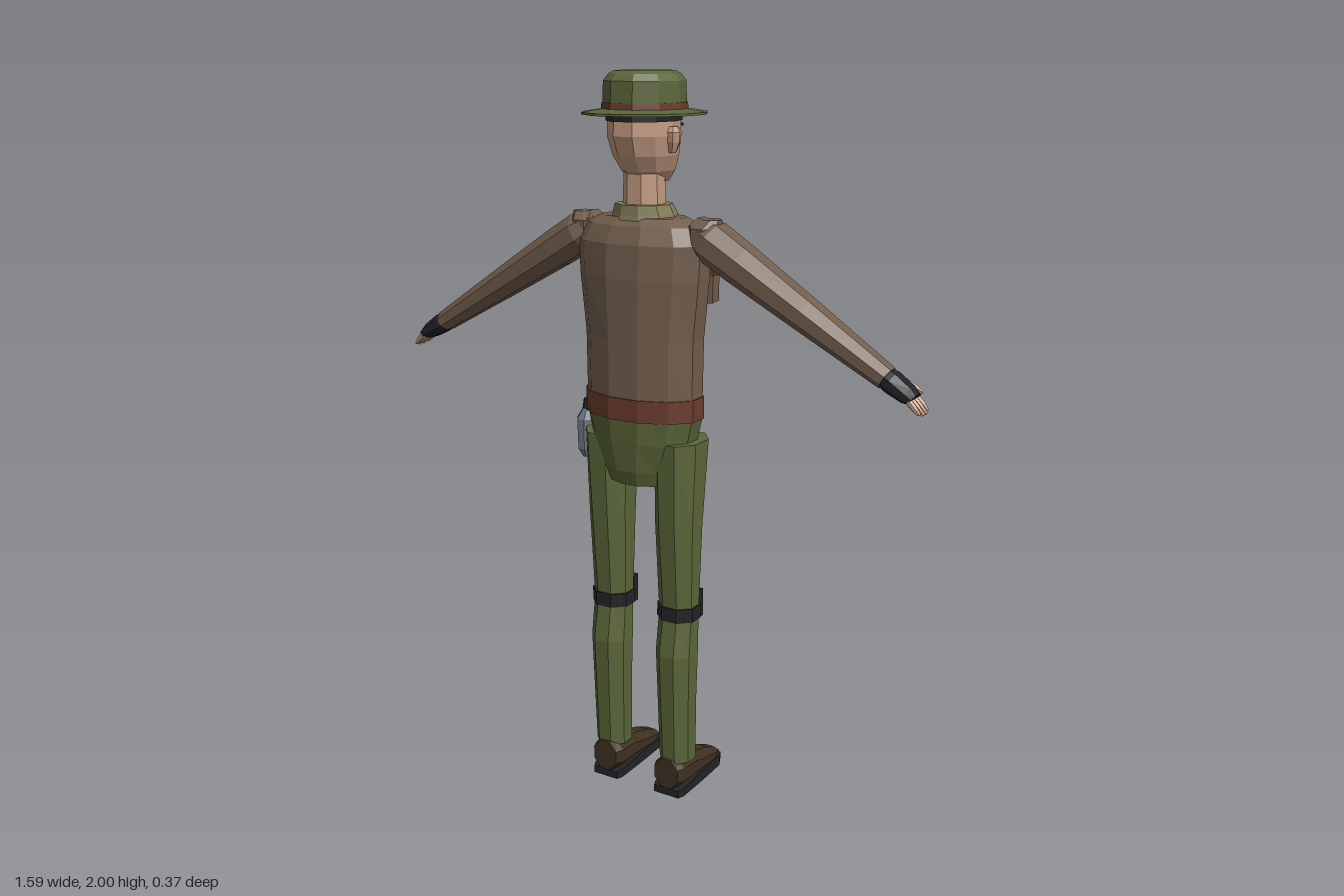
import * as THREE from 'three';

const mat = (name, color) => Object.assign(new THREE.MeshStandardMaterial({ color }), { name });

export function createModel() {
  const model = new THREE.Group();
  model.name = 'ranger';
  const olive = mat('olive cloth', 0x5b6639);
  const shirt = mat('brown shirt', 0x725e4d);
  const leather = mat('red brown leather', 0x6a3c2d);
  const skin = mat('skin', 0xc29a80);
  const khaki = mat('khaki collar', 0x827a55);
  const black = mat('black rubber', 0x222326);
  const shoeBrown = mat('shoe brown', 0x3f3122);
  const dark = mat('dark panel', 0x33291d);
  const metal = mat('grey metal', 0x6c7682);

  const add = (name, geometry, material, parent = model) => {
    const mesh = new THREE.Mesh(geometry, material);
    mesh.name = name;
    parent.add(mesh);
    return mesh;
  };

  // Faceted loft along y; each section is [y, halfX, halfZ, centreX, centreZ].
  // Flat facets face the four axes and the ends are capped.
  const loft = (name, material, sections, n = 8, parent = model) => {
    const pos = [], idx = [], k = 1 / Math.cos(Math.PI / n), last = sections.length - 1;
    for (const [y, rx, rz, cx = 0, cz = 0] of sections)
      for (let i = 0; i < n; i++) {
        const a = ((i + 0.5) / n) * Math.PI * 2;
        pos.push(cx + rx * k * Math.sin(a), y, cz + rz * k * Math.cos(a));
      }
    for (let j = 0; j < last; j++)
      for (let i = 0; i < n; i++) {
        const a = j * n + i, b = j * n + ((i + 1) % n);
        idx.push(a, b, a + n, b, b + n, a + n);
      }
    for (let i = 1; i < n - 1; i++) idx.push(0, i + 1, i, last * n, last * n + i, last * n + i + 1);
    const indexed = new THREE.BufferGeometry();
    indexed.setAttribute('position', new THREE.Float32BufferAttribute(pos, 3));
    indexed.setIndex(idx);
    const flat = indexed.toNonIndexed();
    flat.computeVertexNormals();
    return add(name, flat, material, parent);
  };

  const box = (name, material, w, h, d, x, y, z, parent = model) => {
    const mesh = add(name, new THREE.BoxGeometry(w, h, d), material, parent);
    mesh.position.set(x, y, z);
    return mesh;
  };

  // Torso, belt and hips
  loft('shirtBody', shirt, [
    [1.16, 0.165, 0.105, 0, 0.018], [1.32, 0.167, 0.107, 0, 0.018], [1.48, 0.183, 0.108, 0, 0.02],
    [1.57, 0.187, 0.104, 0, 0.02], [1.615, 0.165, 0.09, 0, 0.016], [1.635, 0.12, 0.07, 0, 0.015],
  ], 12);
  loft('belt', leather, [[1.105, 0.169, 0.109, 0, 0.018], [1.165, 0.169, 0.109, 0, 0.018]], 12);
  loft('hips', olive, [
    [0.92, 0.095, 0.08, 0, 0.018], [0.96, 0.112, 0.092, 0, 0.018],
    [1.04, 0.15, 0.102, 0, 0.018], [1.11, 0.166, 0.106, 0, 0.018],
  ], 12);

  // Chest panel, front placket, buckle and pockets
  box('lowerChestPanel', dark, 0.13, 0.25, 0.02, 0, 1.25, -0.094);
  box('upperChestPanel', dark, 0.14, 0.225, 0.03, 0, 1.48, -0.094);
  for (const s of [-1, 1]) box('placket', shirt, 0.014, 0.42, 0.025, s * 0.077, 1.36, -0.09);
  box('buckle', metal, 0.05, 0.035, 0.012, -0.015, 1.138, -0.104);
  for (const s of [-1, 1]) {
    const pocket = new THREE.Group();
    pocket.name = 'chestPocket';
    pocket.position.set(s * 0.122, 1.455, -0.085);
    pocket.rotation.y = s * 0.2;
    model.add(pocket);
    box('pocketBody', shirt, 0.068, 0.08, 0.055, 0, -0.01, 0, pocket);
    box('pocketFlap', leather, 0.074, 0.025, 0.062, 0, 0.035, 0, pocket);
  }

  // Collar, neck and head
  loft('collar', khaki, [[1.62, 0.088, 0.08, 0, 0.014], [1.64, 0.084, 0.076, 0, 0.014], [1.667, 0.074, 0.068, 0, 0.02]], 10);
  loft('neck', skin, [[1.65, 0.054, 0.05, 0, 0.018], [1.76, 0.05, 0.048, 0, 0.018]]);
  loft('head', skin, [
    [1.722, 0.043, 0.053, 0, -0.014], [1.75, 0.062, 0.077, 0, -0.003], [1.79, 0.077, 0.093, 0, 0.01],
    [1.84, 0.086, 0.102, 0, 0.018], [1.9, 0.084, 0.1, 0, 0.018],
  ], 10);
  loft('hair', black, [[1.876, 0.089, 0.105, 0, 0.018], [1.896, 0.089, 0.105, 0, 0.018]], 10);
  loft('nose', skin, [[1.798, 0.016, 0.017, 0, -0.096], [1.812, 0.015, 0.02, 0, -0.096], [1.86, 0.007, 0.01, 0, -0.084]], 4);
  box('mouth', black, 0.046, 0.009, 0.008, 0, 1.768, -0.085);
  for (const s of [-1, 1]) {
    loft('ear', skin, [[1.798, 0.008, 0.01, s * 0.085, 0.018], [1.825, 0.013, 0.02, s * 0.09, 0.018],
      [1.85, 0.014, 0.021, s * 0.092, 0.02], [1.864, 0.009, 0.013, s * 0.09, 0.02]], 6);
    box('eye', black, 0.026, 0.011, 0.008, s * 0.034, 1.842, -0.082).rotation.y = s * 0.25;
    box('eyebrow', black, 0.034, 0.007, 0.009, s * 0.036, 1.863, -0.083).rotation.y = s * 0.25;
  }

  // Hat
  loft('hatBrim', olive, [[1.892, 0.155, 0.168, 0, 0.014], [1.898, 0.155, 0.168, 0, 0.014], [1.906, 0.105, 0.115, 0, 0.014]], 12);
  loft('hatBand', leather, [[1.903, 0.104, 0.114, 0, 0.015], [1.922, 0.102, 0.112, 0, 0.015]], 10);
  loft('hatCrown', olive, [[1.91, 0.1, 0.11, 0, 0.015], [1.975, 0.098, 0.108, 0, 0.015],
    [1.992, 0.086, 0.094, 0, 0.015], [2.0, 0.072, 0.08, 0, 0.015]], 10);

  for (const s of [-1, 1]) {
    // Arm, running down its local y axis from the shoulder
    const arm = new THREE.Group();
    arm.name = s > 0 ? 'leftArm' : 'rightArm';
    arm.position.set(s * 0.155, 1.605, 0.008);
    arm.rotation.z = -s * 2.11;
    model.add(arm);
    loft('sleeve', shirt, [
      [-0.01, 0.034, 0.04], [0.05, 0.052, 0.063], [0.15, 0.05, 0.06], [0.36, 0.041, 0.05], [0.625, 0.028, 0.036],
    ], 8, arm);
    loft('glove', black, [[0.615, 0.023, 0.03], [0.64, 0.027, 0.036], [0.69, 0.022, 0.037], [0.71, 0.014, 0.033]], 8, arm);
    for (let i = 0; i < 4; i++) {
      const finger = loft('finger', skin, [[0, 0.008, 0.0075], [0.035, 0.007, 0.0065], [0.062 - 0.006 * Math.abs(i - 1.5), 0.004, 0.005]], 6, arm);
      finger.position.set(0, 0.695, -0.026 + i * 0.0175);
      finger.rotation.z = -s * 0.25;
    }
    const thumb = loft('thumb', skin, [[0, 0.009, 0.009], [0.035, 0.008, 0.008], [0.055, 0.004, 0.004]], 6, arm);
    thumb.position.set(-s * 0.006, 0.655, -0.034);
    thumb.rotation.x = -0.3;

    // Shoulder yoke
    loft('shoulder', shirt, [[1.56, 0.03, 0.045, s * 0.18, 0.012], [1.615, 0.042, 0.048, s * 0.18, 0.012],
      [1.636, 0.026, 0.025, s * 0.196, 0.01]]);

    // Trouser leg with knee strap and pad
    const x = s * 0.108;
    loft('trouserLeg', olive, [
      [0.1, 0.047, 0.05, x, 0.012], [0.28, 0.05, 0.053, x, 0.018], [0.43, 0.054, 0.058, x, 0.02],
      [0.55, 0.052, 0.048, x, 0.01], [0.8, 0.059, 0.064, x, 0.014], [1.045, 0.065, 0.083, s * 0.111, 0.008],
    ]);
    loft('kneeStrap', black, [[0.532, 0.057, 0.054, x, 0.01], [0.572, 0.057, 0.054, x, 0.01]]);
    box('kneePad', black, 0.078, 0.08, 0.022, x, 0.56, -0.045);

    // Shoe, lofted from heel to toe
    const shoe = new THREE.Group();
    shoe.name = s > 0 ? 'leftShoe' : 'rightShoe';
    shoe.position.set(s * 0.104, 0, 0);
    shoe.rotation.x = -Math.PI / 2;
    model.add(shoe);
    loft('sole', black, [
      [-0.068, 0.04, 0.011, 0, 0.011], [-0.05, 0.047, 0.012, 0, 0.012], [0.06, 0.047, 0.016, 0, 0.016],
      [0.16, 0.046, 0.016, 0, 0.018], [0.184, 0.036, 0.01, 0, 0.022],
    ], 4, shoe);
    loft('shoeUpper', shoeBrown, [
      [-0.07, 0.038, 0.044, 0, 0.068], [-0.045, 0.047, 0.048, 0, 0.066], [0.025, 0.047, 0.044, 0, 0.062],
      [0.06, 0.046, 0.034, 0, 0.054], [0.135, 0.044, 0.022, 0, 0.043], [0.18, 0.033, 0.012, 0, 0.034],
    ], 8, shoe);
    for (let i = 0; i < 3; i++) box('lace', metal, 0.04, 0.007, 0.007, 0, 0.04 + i * 0.02, 0.098 - i * 0.011, shoe);
  }

  // Canteen on the belt
  loft('canteen', metal, [
    [0.95, 0.012, 0.022, -0.195, 0], [0.975, 0.024, 0.036, -0.197, 0], [1.06, 0.027, 0.038, -0.197, 0],
    [1.088, 0.014, 0.02, -0.195, 0],
  ]);
  loft('canteenCap', black, [[1.083, 0.017, 0.02, -0.194, 0], [1.116, 0.016, 0.018, -0.19, 0]]);

  return model;
}
